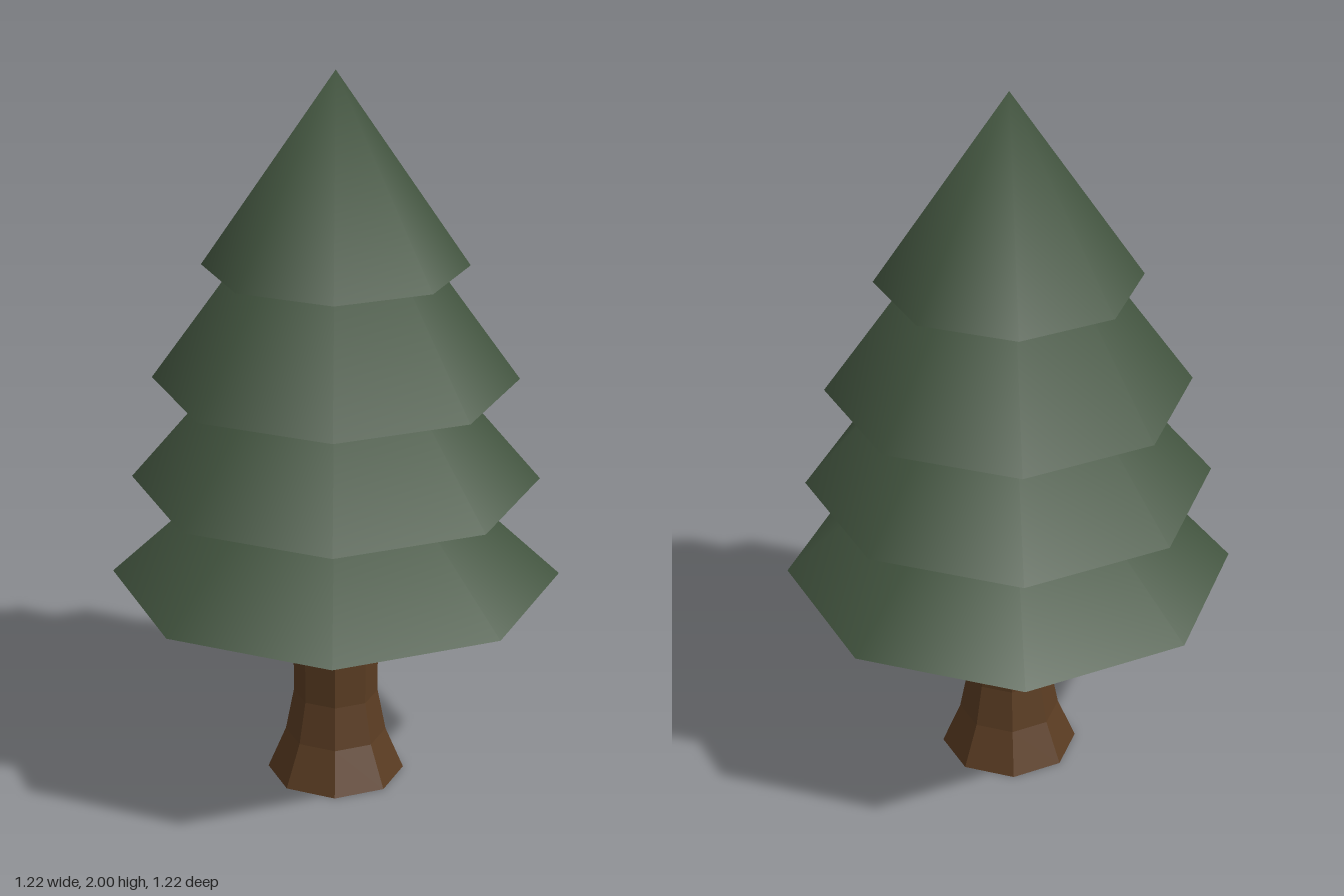
import * as THREE from 'three';
import { mergeVertices } from 'three/addons/utils/BufferGeometryUtils.js';

const SIDES = 8;

// Open eight-sided cone with one shared apex, so it shades smoothly all round
function tierGeometry(radius, bottom, top) {
  const cone = new THREE.ConeGeometry(radius, top - bottom, SIDES, 1, true);
  cone.translate(0, (top + bottom) / 2, 0);
  cone.deleteAttribute('uv');
  cone.deleteAttribute('normal');
  const smooth = mergeVertices(cone, 1e-4);
  smooth.computeVertexNormals();
  return smooth;
}

// Faceted trunk turned from a profile of [radius, height]
function trunkGeometry(profile) {
  const points = profile.map(([r, y]) => new THREE.Vector2(r, y));
  const faceted = new THREE.LatheGeometry(points, SIDES).toNonIndexed();
  faceted.computeVertexNormals();
  return faceted;
}

export function createModel() {
  const tree = new THREE.Group();
  tree.name = 'pineTree';

  const needles = new THREE.MeshStandardMaterial({ color: 0x42543f, side: THREE.DoubleSide });
  needles.name = 'needle green';
  const bark = new THREE.MeshStandardMaterial({ color: 0x5a3c22 });
  bark.name = 'bark brown';

  // Trunk with a flared foot, closed underneath
  const trunk = new THREE.Mesh(
    trunkGeometry([[0, 0], [0.19, 0], [0.14, 0.12], [0.117, 0.24], [0.117, 1.15], [0, 1.15]]),
    bark
  );
  trunk.name = 'trunk';
  tree.add(trunk);

  // Hollow branch tiers from bottom to top: radius, rim height, apex height
  const tiers = [
    [0.612, 0.6, 1.16],
    [0.552, 0.88, 1.53],
    [0.491, 1.165, 1.85],
    [0.354, 1.48, 2],
  ];
  tiers.forEach(([radius, bottom, top], i) => {
    const tier = new THREE.Mesh(tierGeometry(radius, bottom, top), needles);
    tier.name = `branchTier${i + 1}`;
    tree.add(tier);
  });

  return tree;
}
